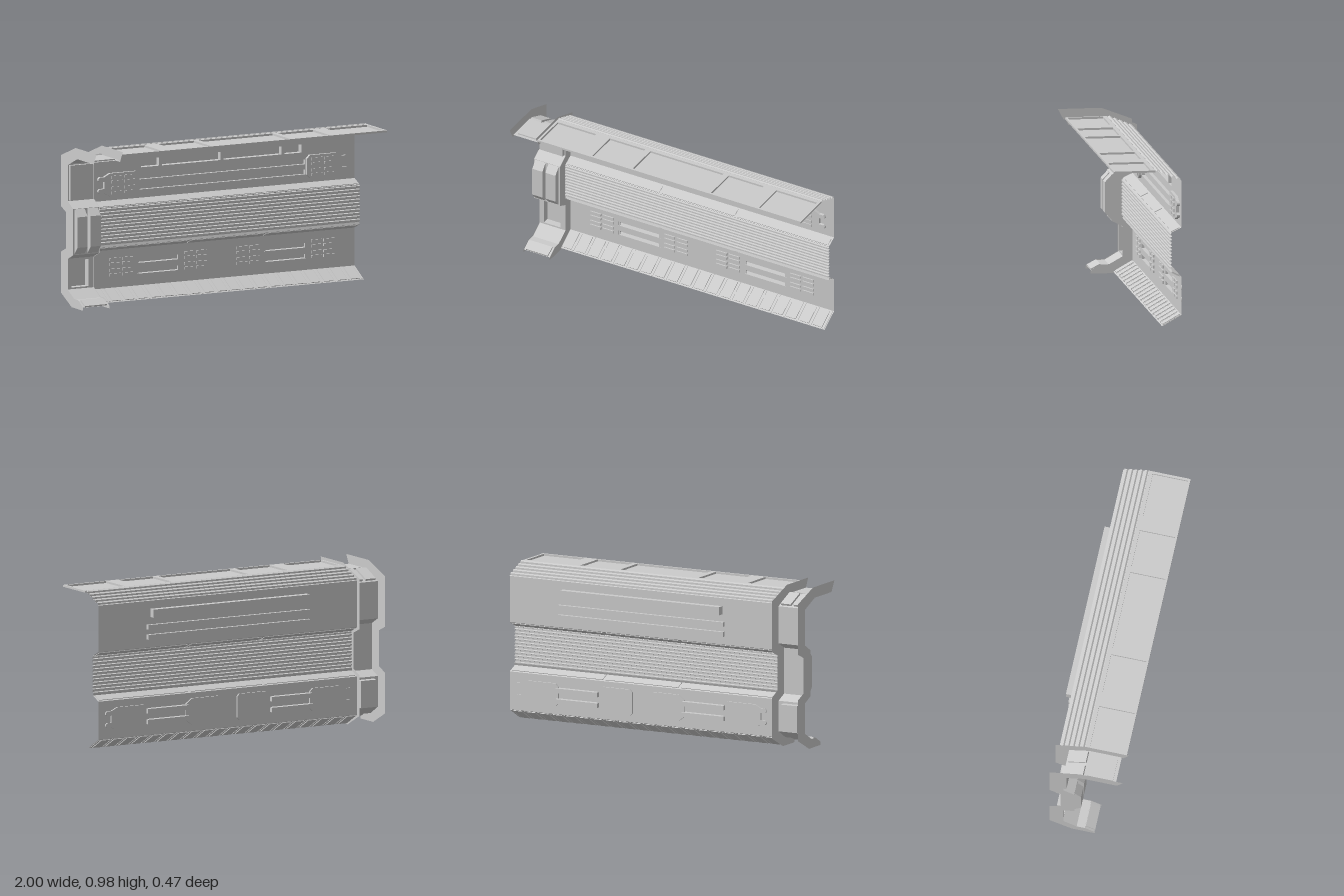
import * as THREE from 'three';

const mat = new THREE.MeshStandardMaterial({ color: 0xcccccc, side: THREE.DoubleSide, flatShading: true });
const X0 = -0.82, X1 = 1, MID = 0.09;   // long panel ends and its centre
const WALL = -0.193;                    // z of the panel's flat walls

export function createModel() {
  const root = new THREE.Group();

  const add = (name, geo, x = 0, y = 0, z = 0) => {
    const m = new THREE.Mesh(geo, mat);
    m.name = name;
    m.position.set(x, y, z);
    root.add(m);
    return m;
  };
  const box = (name, x0, x1, y0, y1, z0, z1) =>
    add(name, new THREE.BoxGeometry(x1 - x0, y1 - y0, z1 - z0), (x0 + x1) / 2, (y0 + y1) / 2, (z0 + z1) / 2);

  // Pressed channel: a box open towards the front
  const tray = (name, x0, x1, y0, y1, z0, z1) => {
    const m = box(name, x0, x1, y0, y1, z0, z1);
    const idx = Array.from(m.geometry.index.array);
    idx.splice(24, 6);
    m.geometry.setIndex(idx);
    m.geometry.clearGroups();
  };

  // Thin sheet swept along x through [z, y] points
  const sheet = (name, pts, x0, x1) => {
    const v = [];
    for (let i = 0; i < pts.length - 1; i++) {
      const [z, y] = pts[i], [w, u] = pts[i + 1];
      v.push(x0, y, z, x0, u, w, x1, u, w, x0, y, z, x1, u, w, x1, y, z);
    }
    const g = new THREE.BufferGeometry();
    g.setAttribute('position', new THREE.Float32BufferAttribute(v, 3));
    g.computeVertexNormals();
    add(name, g);
  };

  // Flat slab lying between two [z, y] points
  const slab = (name, p, q, x0, x1, t) => {
    const dz = q[0] - p[0], dy = q[1] - p[1];
    const m = add(name, new THREE.BoxGeometry(x1 - x0, t, Math.hypot(dz, dy)),
      (x0 + x1) / 2, (p[1] + q[1]) / 2, (p[0] + q[0]) / 2);
    m.rotation.x = -Math.atan2(dy, dz);
  };

  const rect = (S, x0, x1, y0, y1) => {
    const s = new S();
    s.moveTo(x0, y0); s.lineTo(x1, y0); s.lineTo(x1, y1); s.lineTo(x0, y1); s.closePath();
    return s;
  };
  // Upright wall with rectangular openings [x0, x1, y0, y1]
  const wall = (name, x0, x1, y0, y1, z, holes) => {
    const s = rect(THREE.Shape, x0, x1, y0, y1);
    holes.forEach(h => s.holes.push(rect(THREE.Path, ...h)));
    add(name, new THREE.ShapeGeometry(s), 0, 0, z);
  };
  const polygon = pts => new THREE.Shape(pts.map(p => new THREE.Vector2(...p)));

  // Stepped ribs running between two [z, y] points, standing out by d = [dz, dy]
  const ribs = (p, q, n, d) => {
    const out = [];
    for (let i = 0; i < n; i++) {
      [[0, 0], [0.15, 1], [0.6, 1], [0.75, 0]].forEach(([f, k]) => {
        const t = (i + f) / n;
        out.push([p[0] + (q[0] - p[0]) * t + d[0] * k, p[1] + (q[1] - p[1]) * t + d[1] * k]);
      });
    }
    return [...out, q];
  };

  // Roof, its framed panels and the ribbed slope
  sheet('roof', [[0.218, 0.952], [-0.035, 0.952], [-0.035, 0.965],
    ...ribs([-0.04, 0.96], [-0.195, 0.895], 5, [-0.004, 0.009])], X0, X1);
  const frame = rect(THREE.Shape, X0, X1, -0.22, 0.035);
  [[-0.805, -0.54], [-0.445, -0.2], [-0.165, 0.34], [0.375, 0.615], [0.705, 0.985]]
    .forEach(([a, b]) => frame.holes.push(rect(THREE.Path, a, b, -0.207, 0.01)));
  const frameGeo = new THREE.ExtrudeGeometry(frame, { depth: 0.012, bevelEnabled: false });
  frameGeo.rotateX(-Math.PI / 2);
  add('roofFrame', frameGeo, 0, 0.952, 0);

  // Upper wall with pressed bars
  const upper = [[-0.465, 0.635, 0.795, 0.845], [-0.48, 0.66, 0.722, 0.75], [-0.48, 0.66, 0.66, 0.69]];
  wall('upperWall', X0, X1, 0.61, 0.895, WALL, upper);
  upper.forEach((h, i) => tray(i ? 'upperRod' : 'upperBar', ...h, i ? -0.214 : -0.232, WALL));
  [-0.34, 0.08, 0.5].forEach(x => box('barClip', x, x + 0.02, 0.795, 0.845, -0.225, WALL));

  // Ribbed middle with sloping ledges
  sheet('ribbedMiddle', [[WALL, 0.61], [-0.13, 0.58],
    ...ribs([-0.135, 0.575], [-0.135, 0.35], 11, [0.011, 0]), [-0.13, 0.337], [WALL, 0.308]], X0, X1);
  [[-0.81, -0.175], [-0.155, 0.345], [0.365, 0.99]].forEach(([a, b]) => {
    slab('upperLedgePanel', [-0.136, 0.583], [-0.183, 0.6055], a, b, 0.008);
    slab('lowerLedgePanel', [-0.136, 0.335], [-0.183, 0.3125], a, b, 0.008);
  });

  // Lower wall with pressed rods, and the slatted apron below it
  const lower = [];
  [[0.38, 0.67], [-0.49, -0.2]].forEach(([a, b]) =>
    lower.push([a, b, 0.212, 0.24], [a, b, 0.146, 0.174]));
  wall('lowerWall', X0, X1, 0.075, 0.308, WALL, lower);
  lower.forEach(h => tray('lowerRod', ...h, -0.226, WALL));
  sheet('apron', [[WALL, 0.075], [-0.075, 0.008]], X0, X1);
  for (let i = 0; i < 20; i++) {
    const x = X0 + 0.008 + i * 0.091;
    slab('apronTile', [-0.084, 0.013], [-0.188, 0.072], x, x + 0.06, 0.01);
    slab('apronRib', [-0.08, 0.011], [-0.19, 0.073], x + 0.068, x + 0.078, 0.006);
  }

  // Pronged and plain plates, with cy as centre height and s as mirror side
  const pronged = (xIn, xOut, cy, s, z0, z1) => {
    const b = xOut - s * 0.04;
    const half = [[xIn, 0.05], [xIn + s * 0.02, 0.07], [b - s * 0.04, 0.07], [b, 0.05], [xOut - s * 0.01, 0.05],
      [xOut, 0.04], [xOut, 0.03], [xOut - s * 0.01, 0.022], [b, 0.022]];
    const pts = [...half, ...half.map(([x, y]) => [x, -y]).reverse()].map(([x, y]) => [x, y + cy]);
    add('prongedPlate', new THREE.ExtrudeGeometry(polygon(pts), { depth: z1 - z0, bevelEnabled: false }), 0, 0, z0);
  };
  const vents = (x, cy, z) => {
    for (let c = 0; c < 2; c++) for (let r = 0; r < 4; r++) {
      const y = cy - 0.058 + r * 0.029 + (r > 1 ? 0.008 : 0);
      box('ventSlat', x + c * 0.085, x + 0.073 + c * 0.085, y, y + 0.017, z - 0.004, z + 0.005);
    }
  };
  [1, -1].forEach(s => {
    const at = d => MID + s * d;
    pronged(at(0.575), at(0.855), 0.708, s, WALL, -0.175);
    vents(at(0.685) - 0.08, 0.708, -0.175);
    // Lower plates stand out at the back
    pronged(at(0.57), at(0.865), 0.195, s, -0.205, WALL - 0.002);
    const inner = [[0.06, -0.065], [0.075, -0.08], [0.26, -0.08], [0.3, -0.05], [0.3, 0.05], [0.26, 0.08],
      [0.075, 0.08], [0.06, 0.065]].map(([x, y]) => [at(x), y + 0.195]);
    add('innerPlate', new THREE.ExtrudeGeometry(polygon(inner), { depth: 0.01, bevelEnabled: false }), 0, 0, -0.205);
    vents(at(0.69) - 0.08, 0.203, WALL + 0.003);
    vents(at(0.18) - 0.08, 0.203, WALL + 0.003);
  });

  // Two end plates enclosing the pillar
  const outline = [[0.235, 0.982], [-0.03, 0.982], [-0.218, 0.91], [-0.218, 0.6], [-0.15, 0.57], [-0.15, 0.35],
    [-0.218, 0.32], [-0.218, 0.07], [-0.08, 0], [0.065, 0], [0.065, 0.018], [0.003, 0.055], [-0.048, 0.055],
    [-0.13, 0.1], [-0.13, 0.287], [-0.063, 0.32], [-0.063, 0.603], [-0.13, 0.642], [-0.13, 0.862],
    [-0.01, 0.916], [0.2, 0.916]];
  [-1, X0].forEach(x => {
    const g = new THREE.ShapeGeometry(polygon(outline.map(([z, y]) => [-z, y])));
    g.rotateY(Math.PI / 2);
    add('pillarEndPlate', g, x, 0, 0);
  });

  // Pillar skin between the plates
  sheet('pillarHead', [[0.19, 0.925], [-0.01, 0.925], [-0.135, 0.868], [-0.135, 0.64], [-0.065, 0.602],
    [-0.065, 0.32], [-0.135, 0.288]], -1, X0);
  wall('pillarBase', -1, X0, 0.1, 0.288, -0.135, [[-0.97, -0.855, 0.11, 0.275]]);
  tray('pillarRecess', -0.97, -0.855, 0.11, 0.275, -0.178, -0.135);
  sheet('pillarFoot', [[-0.135, 0.1], [-0.05, 0.05], [0, 0.05], [0.06, 0.018]], -1, X0);
  slab('footPad', [0.002, 0.053], [0.06, 0.023], -0.985, -0.835, 0.01);
  box('pillarUpperPad', -0.99, -0.83, 0.645, 0.86, -0.135, -0.115);
  [-0.99, -0.9].forEach(x => {
    slab('pillarSlopePad', [-0.012, 0.93], [-0.125, 0.879], x, x + 0.07, 0.014);
    // Bulging cushion: side profile swept across
    const g = new THREE.ExtrudeGeometry(polygon([[0.065, 0.325], [0.025, 0.37], [0.025, 0.557], [0.065, 0.6]]),
      { depth: 0.07, bevelEnabled: false });
    g.rotateY(Math.PI / 2);
    add('pillarCushion', g, x, 0, 0);
  });
  slab('pillarRoofPad', [0.17, 0.928], [0.01, 0.928], -0.98, -0.84, 0.01);

  return root;
}
